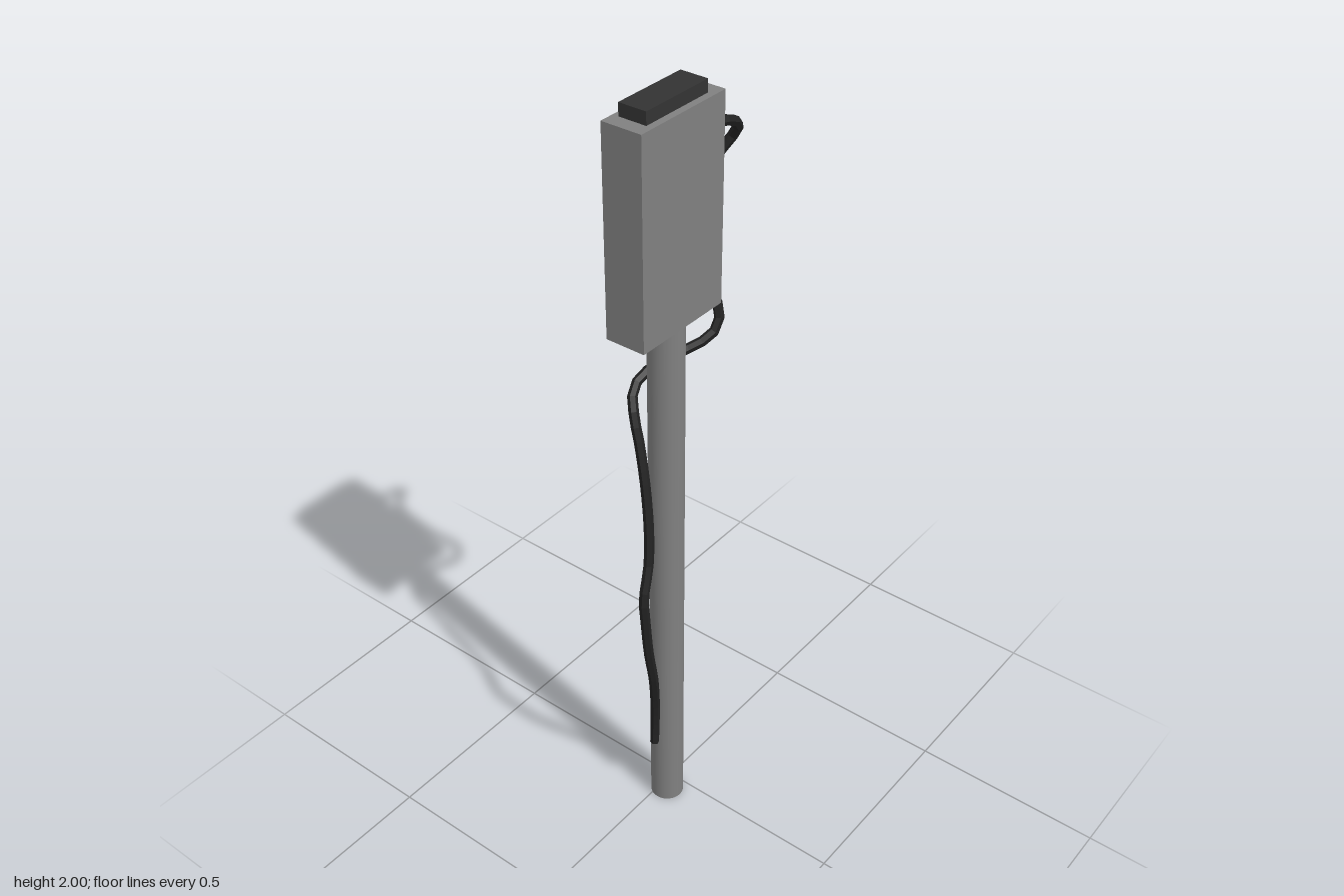
import * as THREE from 'three';

const grey = new THREE.MeshStandardMaterial({ color: 0x808080 });
const dark = new THREE.MeshStandardMaterial({ color: 0x333333 });
const black = new THREE.MeshStandardMaterial({ color: 0x222222, flatShading: true });

function add(parent, name, geometry, material, x = 0, y = 0, z = 0) {
  const mesh = new THREE.Mesh(geometry, material);
  mesh.name = name;
  mesh.position.set(x, y, z);
  parent.add(mesh);
  return mesh;
}

export function createModel() {
  const model = new THREE.Group();
  model.name = 'poleMountedBox';

  // Pole, box and the dark cap on the box
  add(model, 'pole', new THREE.CylinderGeometry(0.043, 0.043, 1.48, 32), grey, -0.043, 0.74, 0.02);
  add(model, 'box', new THREE.BoxGeometry(0.27, 0.5, 0.102), grey, -0.041, 1.72, 0.015);
  add(model, 'topCap', new THREE.BoxGeometry(0.197, 0.04, 0.07), dark, -0.041, 1.98, 0.014);

  // Cable: leaves the box side, hangs down, passes behind the pole and returns to it low down
  const path = [
    [0.08, 1.897, 0.05], [0.135, 1.885, 0.054], [0.169, 1.858, 0.046], [0.177, 1.832, 0.03],
    [0.155, 1.785, 0.004], [0.131, 1.73, -0.018], [0.12, 1.66, -0.026], [0.119, 1.56, -0.02],
    [0.123, 1.49, 0.002], [0.134, 1.44, 0.025], [0.122, 1.39, 0.039], [0.09, 1.36, 0.025],
    [0.04, 1.335, -0.012], [-0.01, 1.315, -0.042], [-0.065, 1.28, -0.055], [-0.092, 1.23, -0.034],
    [-0.102, 1.17, -0.012], [-0.115, 1.07, 0.015], [-0.13, 0.95, 0.037], [-0.145, 0.865, 0.047],
    [-0.174, 0.78, 0.055], [-0.172, 0.72, 0.057], [-0.158, 0.6, 0.055], [-0.128, 0.48, 0.045],
    [-0.099, 0.36, 0.026], [-0.092, 0.29, 0.02], [-0.092, 0.215, 0.018],
  ].map((p) => new THREE.Vector3(...p));
  const curve = new THREE.CatmullRomCurve3(path, false, 'centripetal');
  const cable = new THREE.Group();
  cable.name = 'cable';
  add(cable, 'cableRun', new THREE.TubeGeometry(curve, 56, 0.012, 6), black);

  // Closed lower end of the cable
  const end = add(cable, 'cableEnd', new THREE.CircleGeometry(0.012, 6), black, ...path.at(-1).toArray());
  end.rotation.x = Math.PI / 2;
  model.add(cable);

  return model;
}
